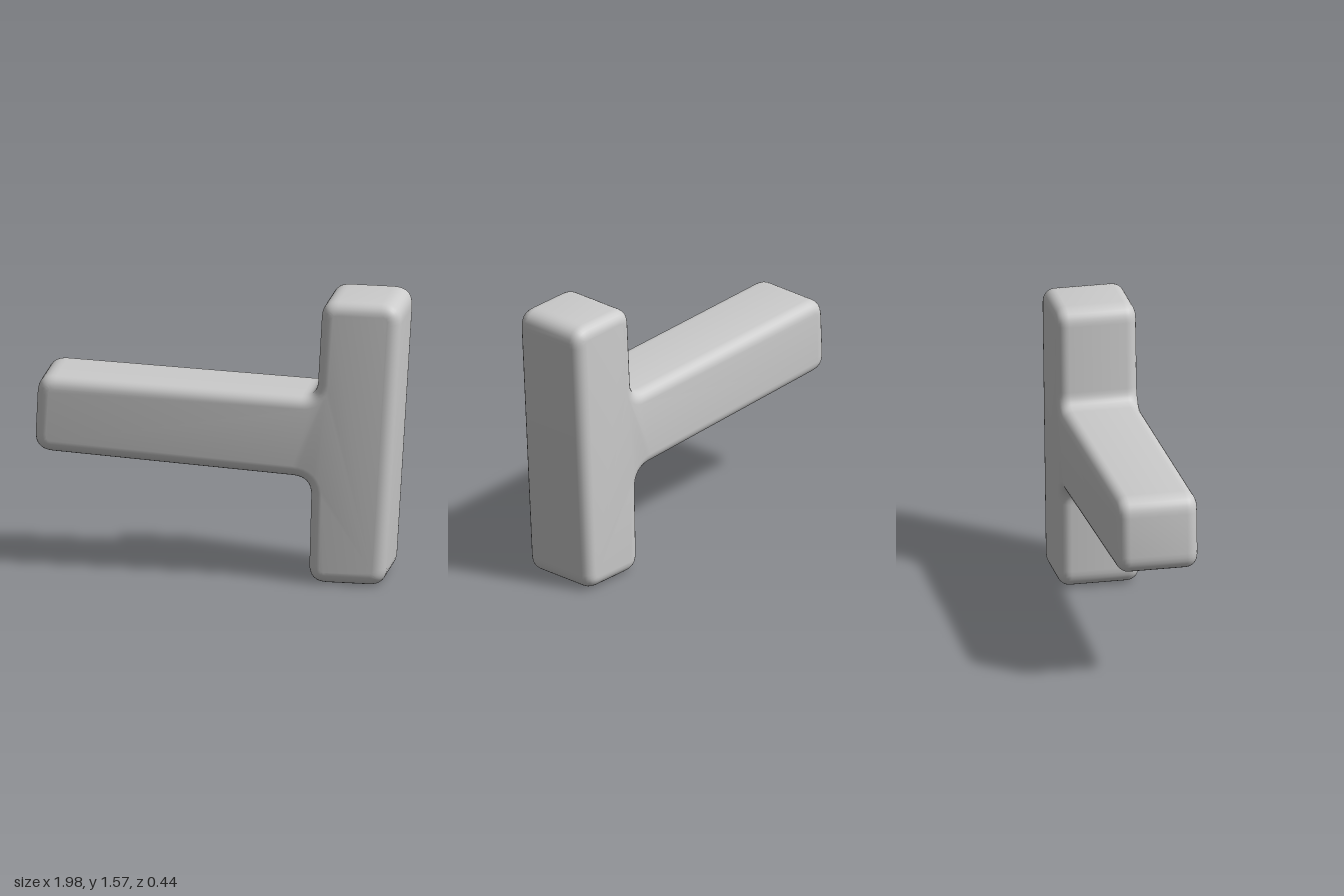
import * as THREE from 'three';
import { mergeVertices, toCreasedNormals } from 'three/addons/utils/BufferGeometryUtils.js';

// closed outline whose corners are rounded; each point is [x, y, radius]
function roundedOutline(points) {
  const shape = new THREE.Shape();
  const n = points.length;
  points.forEach(([x, y, r], i) => {
    const corner = new THREE.Vector2(x, y);
    const toward = ([px, py]) => {
      const d = new THREE.Vector2(px - x, py - y).normalize();
      return corner.clone().addScaledVector(d, r);
    };
    const a = toward(points[(i + n - 1) % n]);
    const b = toward(points[(i + 1) % n]);
    if (i === 0) shape.moveTo(a.x, a.y);
    else shape.lineTo(a.x, a.y);
    shape.quadraticCurveTo(x, y, b.x, b.y);
  });
  shape.closePath();
  return shape;
}

export function createModel() {
  const group = new THREE.Group();
  group.name = 'sidewaysTee';

  // leaning upright bar with a slightly tapering arm, fillets where they meet
  const outline = roundedOutline([
    [0.485, 0.01, 0.1], [0.9, 0.01, 0.09],
    [0.993, 1.575, 0.11], [0.56, 1.575, 0.09],
    [0.53, 1.04, 0.08], [-0.98, 1.09, 0.1],
    [-1.0, 0.67, 0.1], [0.5, 0.59, 0.1],
  ]);

  const bevel = 0.065;
  const depth = 0.44;
  let geometry = new THREE.ExtrudeGeometry(outline, {
    depth: depth - 2 * bevel,
    bevelEnabled: true,
    bevelThickness: bevel,
    bevelSize: bevel,
    bevelOffset: -bevel,
    bevelSegments: 6,
    curveSegments: 8,
  });
  geometry.translate(0, 0, bevel - depth / 2);
  geometry.translate(0, -0.01, 0);

  // smooth the rounded edges
  geometry.deleteAttribute('uv');
  geometry.deleteAttribute('normal');
  geometry = toCreasedNormals(mergeVertices(geometry, 1e-4), 0.7);

  const body = new THREE.Mesh(
    geometry,
    new THREE.MeshStandardMaterial({ color: 0xcccccc, roughness: 0.9 })
  );
  body.name = 'teeBody';
  group.add(body);
  return group;
}
